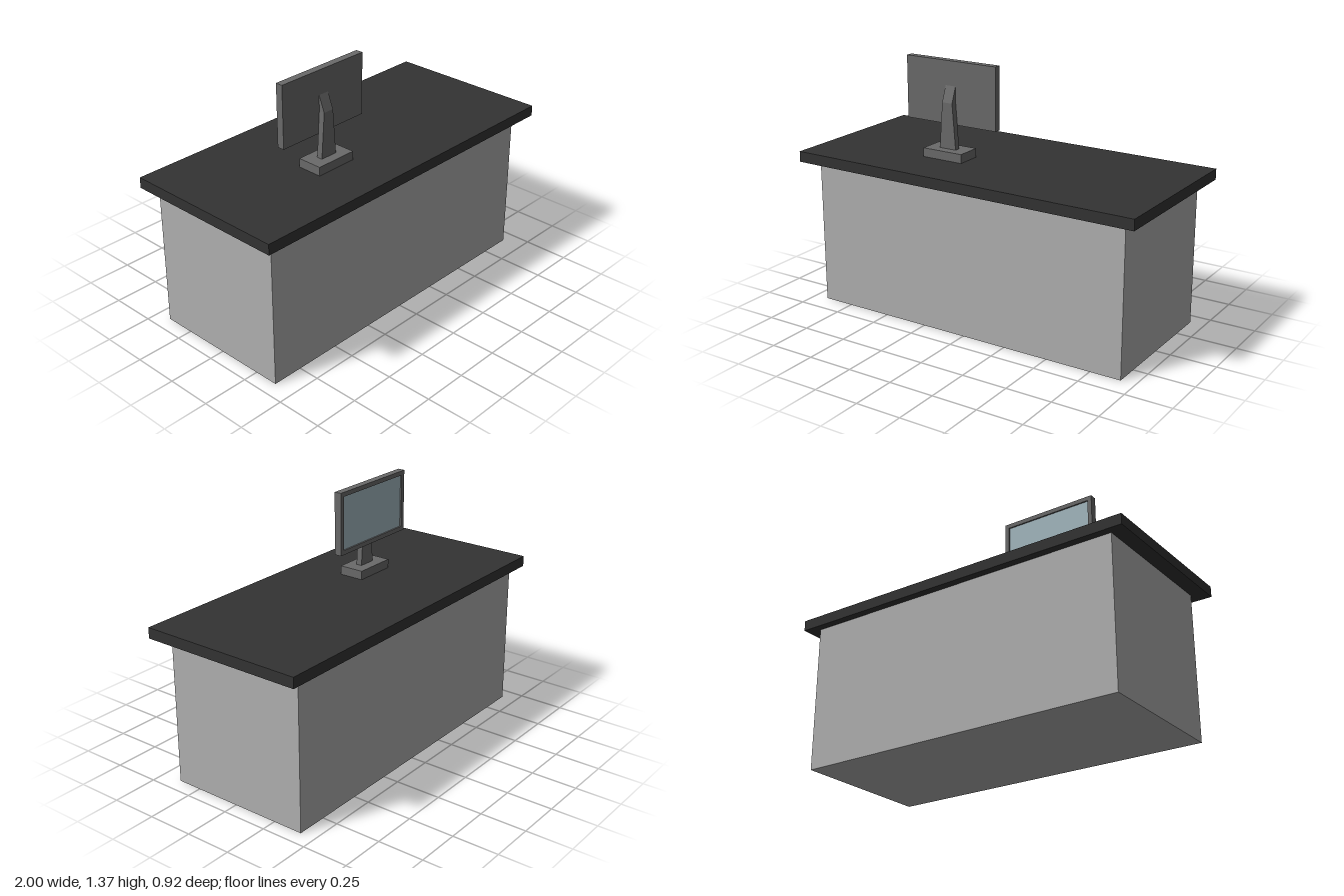
import * as THREE from 'three';

const mat = (color) => new THREE.MeshStandardMaterial({ color, flatShading: true });

export function createModel() {
  const model = new THREE.Group();
  const cabinetMat = mat(0xb0b0b0), topMat = mat(0x333333);
  const caseMat = mat(0x6a6a6a), screenMat = mat(0xa4b8c0);

  const add = (name, geometry, material) => {
    const mesh = new THREE.Mesh(geometry, material);
    mesh.name = name;
    model.add(mesh);
    return mesh;
  };
  // Box given by its extents on each axis
  const block = (x0, x1, y0, y1, z0, z1) =>
    new THREE.BoxGeometry(x1 - x0, y1 - y0, z1 - z0)
      .translate((x0 + x1) / 2, (y0 + y1) / 2, (z0 + z1) / 2);

  // Desk
  add('cabinet', block(-0.92, 0.92, 0, 0.802, -0.416, 0.384), cabinetMat);
  add('deskTop', block(-1, 1, 0.802, 0.86, -0.458, 0.458), topMat);

  // Monitor stand
  const cx = -0.266, bend = 1.155;
  add('standBase', block(cx - 0.12, cx + 0.12, 0.86, 0.908, 0.035, 0.175), caseMat);

  // Neck narrows towards the bend
  const neck = block(cx - 0.05, cx + 0.05, 0.908, bend, 0.09, 0.123);
  const p = neck.attributes.position;
  for (let i = 0; i < p.count; i++) {
    if (p.getY(i) > 1) p.setX(i, cx + (p.getX(i) - cx) * 0.62);
  }
  neck.computeVertexNormals();
  add('standNeck', neck, caseMat);

  // Wedge leaning from the neck into the back of the monitor
  const wedge = new THREE.Shape([
    new THREE.Vector2(-0.123, bend),
    new THREE.Vector2(-0.09, bend),
    new THREE.Vector2(-0.09, 1.24),
  ]);
  const wedgeGeo = new THREE.ExtrudeGeometry(wedge, { depth: 0.062, bevelEnabled: false })
    .translate(0, 0, -0.031).rotateY(Math.PI / 2).translate(cx, 0, 0);
  add('standWedge', wedgeGeo, caseMat);

  // Monitor case with a bezel around a slightly sunken screen facing -z
  const x0 = -0.544, x1 = 0.012, y0 = 1.034, y1 = 1.372, rim = 0.024;
  const rect = (C, inset) => new C([
    new THREE.Vector2(x0 + inset, y0 + inset),
    new THREE.Vector2(x1 - inset, y0 + inset),
    new THREE.Vector2(x1 - inset, y1 - inset),
    new THREE.Vector2(x0 + inset, y1 - inset),
  ]);
  const bezel = rect(THREE.Shape, 0);
  bezel.holes.push(rect(THREE.Path, rim));
  add('monitorBezel', new THREE.ExtrudeGeometry(bezel, { depth: 0.012, bevelEnabled: false })
    .translate(0, 0, 0.05), caseMat);
  add('monitorCase', block(x0, x1, y0, y1, 0.062, 0.09), caseMat);
  add('screen', block(x0 + rim, x1 - rim, y0 + rim, y1 - rim, 0.058, 0.064), screenMat);

  return model;
}
